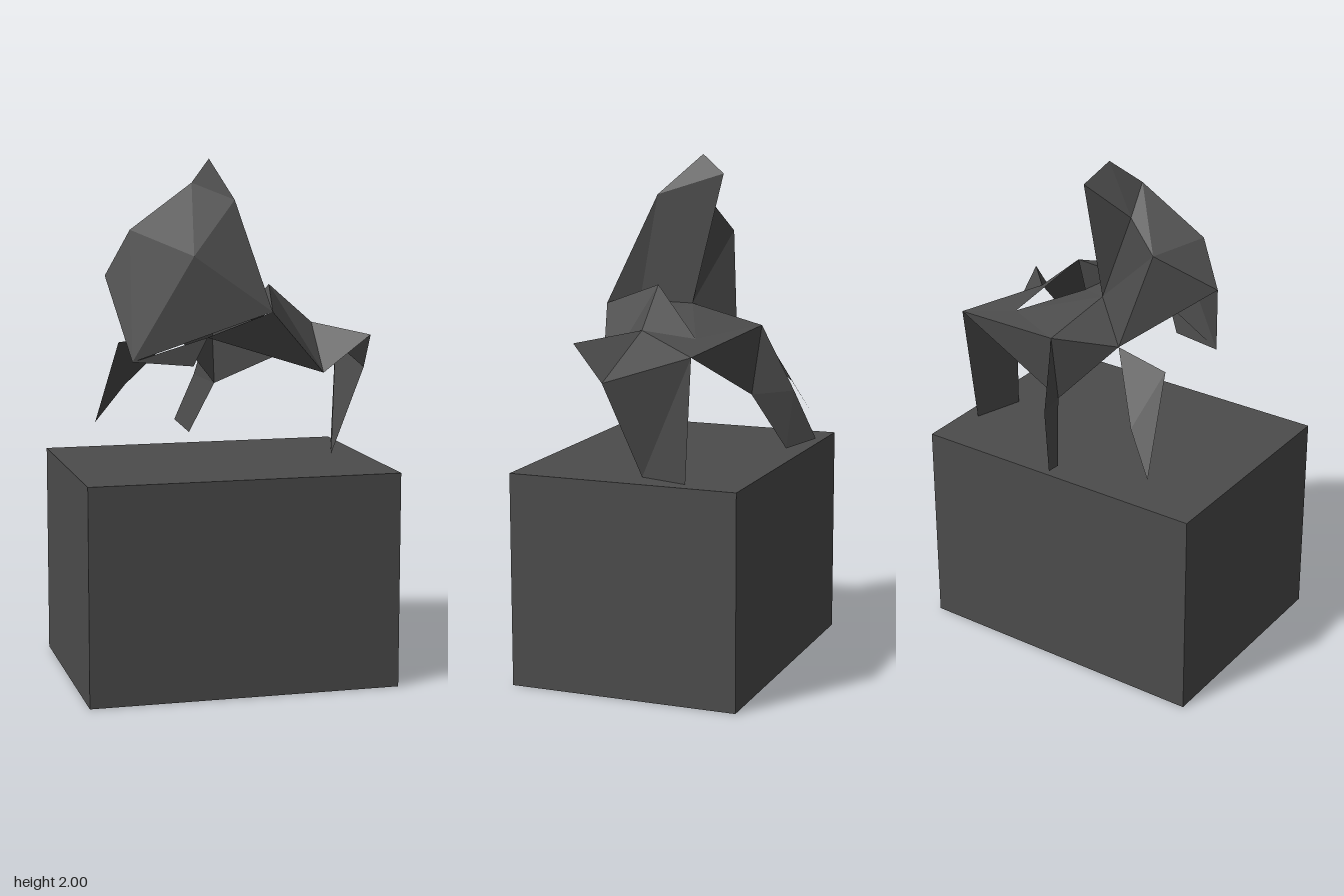
import * as THREE from 'three';

// Shared corner points of the folded figure, grouped by body region
const P = {
  // head and chest
  crown: [-0.01, 2.0, -0.045], brow: [0.035, 1.93, -0.145], cheek: [0.05, 1.846, 0.12],
  scalp: [-0.1, 1.91, 0.04], nape: [-0.11, 1.8, -0.05], back: [-0.235, 1.69, -0.09],
  shoulder: [-0.35, 1.735, 0.075], elbow: [-0.44, 1.56, 0.035], chest: [-0.135, 1.64, 0.225],
  cuff: [-0.362, 1.24, 0.167], knot: [0.154, 1.43, 0.29],
  // arm
  hand: [-0.14, 1.225, 0.23], wrist: [-0.09, 1.335, 0.25],
  // hips
  spine: [0.04, 1.43, -0.02], waist: [0.093, 1.44, 0.177], fold: [0.17, 1.4, 0.05],
  peak: [0.205, 1.517, 0.055], seat: [-0.12, 1.31, -0.145], rump: [0.07, 1.363, -0.315],
  ridge: [0.355, 1.34, -0.155], hip: [0.38, 1.365, 0.05], belly: [0.382, 1.183, 0.21],
  // left leg
  thigh: [0.57, 1.305, -0.22], knee: [0.572, 1.19, 0.13], corner: [0.558, 1.33, 0.25],
  heel: [0.54, 0.83, -0.185], toe: [0.48, 0.83, 0.01],
  // rear leg
  shinOuter: [0.022, 1.11, -0.43], shinInner: [0.07, 1.092, -0.275],
  footOuter: [-0.045, 0.915, -0.498], footInner: [-0.008, 0.875, -0.39],
  // right leg
  rightThigh: [-0.347, 1.28, -0.17], rightShin: [-0.293, 1.09, -0.318], rightToe: [-0.405, 0.934, -0.373],
};

// Each part is a list of flat facets: three or four corner names each
const PARTS = {
  head: ['crown cheek brow', 'crown scalp cheek', 'crown nape scalp', 'crown brow nape'],
  torsoFront: ['scalp shoulder chest', 'scalp chest cheek', 'cheek chest knot',
    'shoulder cuff chest', 'chest cuff knot', 'shoulder elbow cuff'],
  torsoSide: ['cheek spine brow', 'cheek waist spine', 'cheek knot waist'],
  torsoBack: ['brow spine nape', 'nape spine back', 'nape back scalp', 'scalp back shoulder',
    'shoulder back elbow', 'elbow back seat', 'back spine seat'],
  arm: ['cuff hand wrist'],
  hips: ['spine fold ridge', 'spine waist fold', 'waist peak fold', 'waist knot peak',
    'peak hip ridge', 'peak knot belly', 'peak belly hip', 'knot wrist belly',
    'rump seat spine', 'rump spine ridge', 'rump ridge thigh', 'ridge hip thigh',
    'rump shinInner seat', 'rump thigh shinInner', 'hip belly corner'],
  leftLeg: ['thigh hip knee', 'hip corner knee', 'thigh knee toe heel'],
  rearLeg: ['rump shinOuter shinInner', 'shinOuter footOuter footInner shinInner'],
  rightLeg: ['seat rightThigh rightShin', 'rightThigh rightToe rightShin'],
};

function facets(list) {
  const pos = [];
  for (const face of list) {
    const c = face.split(' ').map((n) => P[n]);
    for (let i = 1; i < c.length - 1; i++) pos.push(...c[0], ...c[i], ...c[i + 1]);
  }
  const g = new THREE.BufferGeometry();
  g.setAttribute('position', new THREE.Float32BufferAttribute(pos, 3));
  g.computeVertexNormals();
  return g;
}

export function createModel() {
  const model = new THREE.Group();
  model.name = 'foldedFigureOnPlinth';
  const grey = new THREE.MeshStandardMaterial({ color: 0x4c4c4c, side: THREE.DoubleSide, flatShading: true });
  grey.name = 'darkGrey';

  // Plinth
  const plinth = new THREE.Mesh(new THREE.BoxGeometry(1.2, 0.83, 0.905), grey);
  plinth.name = 'plinth';
  plinth.position.set(0, 0.415, 0.047);
  model.add(plinth);

  // Folded figure
  const figure = new THREE.Group();
  figure.name = 'figure';
  for (const [name, list] of Object.entries(PARTS)) {
    const mesh = new THREE.Mesh(facets(list), grey);
    mesh.name = name;
    figure.add(mesh);
  }
  model.add(figure);
  return model;
}
